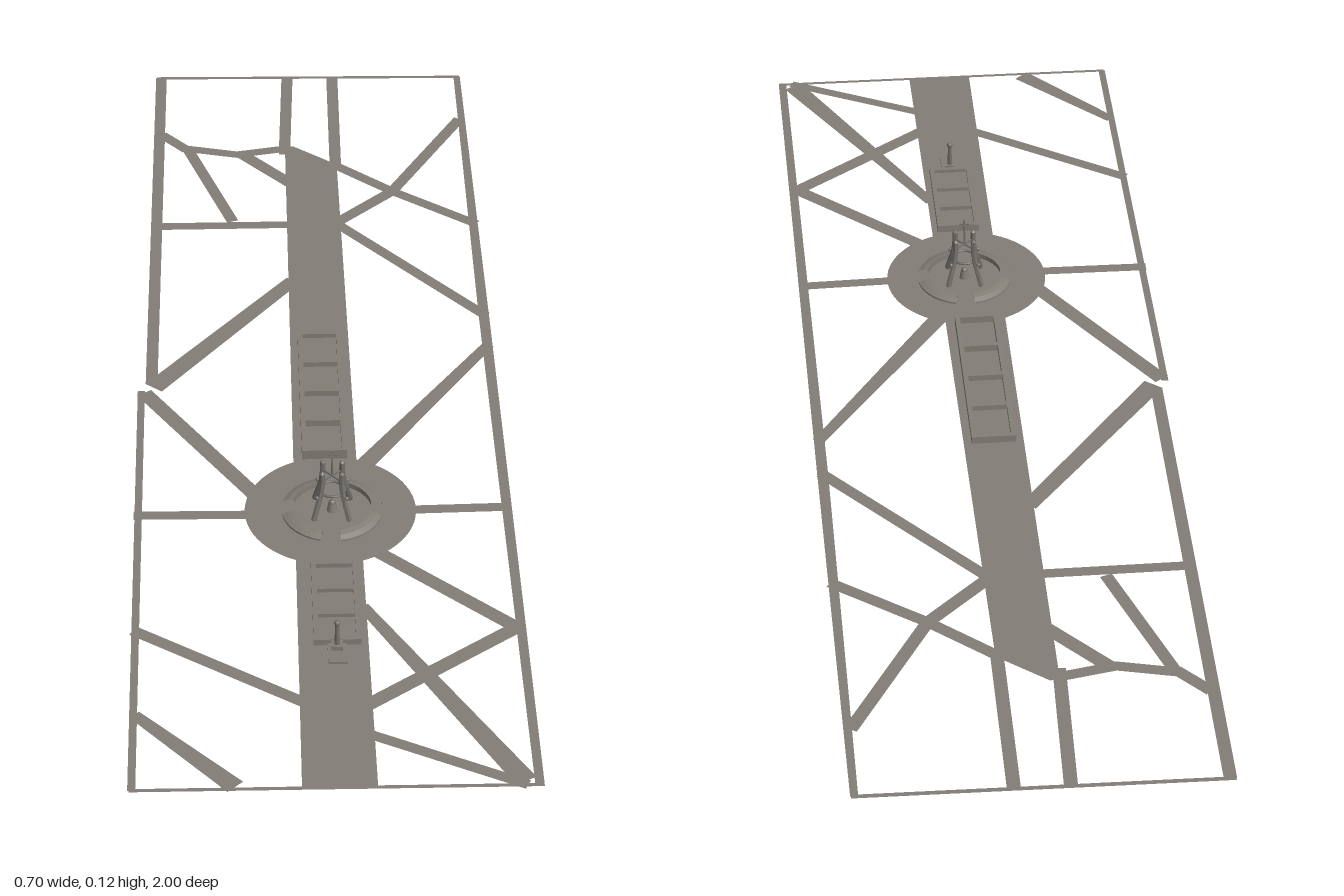
import * as THREE from 'three';

const stone = new THREE.MeshStandardMaterial({ color: 0x827e76, side: THREE.DoubleSide, flatShading: true });
const dark = new THREE.MeshStandardMaterial({ color: 0x74716c, side: THREE.DoubleSide, flatShading: true });

function add(parent, name, geometry, material = stone, x = 0, y = 0, z = 0) {
  const mesh = new THREE.Mesh(geometry, material);
  mesh.name = name;
  mesh.position.set(x, y, z);
  parent.add(mesh);
  return mesh;
}

// flat ground polygon from [x, z] corners
function flat(points) {
  const shape = new THREE.Shape(points.map(([x, z]) => new THREE.Vector2(x, -z)));
  return new THREE.ShapeGeometry(shape).rotateX(-Math.PI / 2);
}

// flat path between two points, with a width at each end
function strip([x0, z0, x1, z1, w0, w1 = w0]) {
  const len = Math.hypot(x1 - x0, z1 - z0);
  const nx = -(z1 - z0) / len / 2, nz = (x1 - x0) / len / 2;
  return flat([
    [x0 + nx * w0, z0 + nz * w0], [x1 + nx * w1, z1 + nz * w1],
    [x1 - nx * w1, z1 - nz * w1], [x0 - nx * w0, z0 - nz * w0],
  ]);
}

// outer boundary: x0, z0, x1, z1, start width, end width
const BORDER = [
  [-0.352, -0.975, 0.222, -0.997, 0.008],
  [-0.268, 0.993, 0.349, 0.962, 0.007],
  [-0.343, -0.975, -0.299, -0.01, 0.02],
  [-0.315, 0.01, -0.264, 0.993, 0.012],
  [0.217, -0.995, 0.265, -0.22, 0.012, 0.018],
  [0.265, -0.22, 0.342, 0.96, 0.018, 0.014],
];
const LEFT_PATHS = [
  [-0.105, -0.985, -0.1, -0.72, 0.021],
  [-0.33, -0.78, -0.28, -0.73, 0.022],
  [-0.28, -0.735, -0.185, -0.5, 0.021],
  [-0.285, -0.735, -0.185, -0.717, 0.021],
  [-0.19, -0.717, -0.09, -0.742, 0.021],
  [-0.18, -0.72, -0.085, -0.625, 0.026],
  [-0.315, -0.48, -0.08, -0.493, 0.021],
  [-0.07, -0.32, -0.295, 0, 0.028, 0.036],
  [-0.31, 0.015, -0.1, 0.3, 0.028],
  [-0.305, 0.345, -0.11, 0.337, 0.021],
  [-0.286, 0.63, 0, 0.798, 0.022],
  [-0.271, 0.825, -0.11, 0.98, 0.02, 0.032],
];
const RIGHT_PATHS = [
  [-0.02, -0.987, -0.005, -0.68, 0.021],
  [0.222, -0.85, 0.1, -0.605, 0.022],
  [0.1, -0.605, 0, -0.5, 0.024],
  [-0.01, -0.69, 0.1, -0.605, 0.022],
  [0.1, -0.605, 0.252, -0.505, 0.022],
  [0, -0.5, 0.267, -0.225, 0.022],
  [0.272, -0.14, 0.06, 0.21, 0.02, 0.032],
  [0.14, 0.317, 0.298, 0.305, 0.021],
  [0.09, 0.425, 0.312, 0.605, 0.026],
  [0.312, 0.605, 0.08, 0.795, 0.026],
  [0.07, 0.56, 0.322, 0.955, 0.02, 0.036],
  [0.09, 0.86, 0.325, 0.963, 0.02],
];

function rect(path, x0, y0, x1, y1) {
  path.moveTo(x0, y0).lineTo(x1, y0).lineTo(x1, y1).lineTo(x0, y1).closePath();
  return path;
}

// raised rim split into sunken panels, its top sloping from back to front
function basin(name, x, z, width, length, panels, backHeight, frontHeight) {
  const group = new THREE.Group();
  group.name = name;
  const rim = 0.008, step = (length - rim) / panels;
  const shape = rect(new THREE.Shape(), -width / 2, -length / 2, width / 2, length / 2);
  for (let i = 0; i < panels; i++) {
    const y = -length / 2 + rim + i * step;
    shape.holes.push(rect(new THREE.Path(), -width / 2 + rim, y, width / 2 - rim, y + step - rim));
  }
  const geometry = new THREE.ExtrudeGeometry(shape, { depth: 1, bevelEnabled: false }).rotateX(-Math.PI / 2);
  const p = geometry.attributes.position;
  for (let i = 0; i < p.count; i++) {
    p.setY(i, p.getY(i) * THREE.MathUtils.lerp(backHeight, frontHeight, p.getZ(i) / length + 0.5));
  }
  geometry.computeVertexNormals();
  add(group, 'basinRim', geometry);
  add(group, 'basinFloor', new THREE.BoxGeometry(width - 0.004, 0.004, length - 0.004), stone, 0, 0.003, 0);
  group.position.set(x, 0, z);
  group.rotation.y = 0.056;
  return group;
}

function createMonument() {
  const group = new THREE.Group();
  group.name = 'monument';

  // four sloped arcs of steps around the tower
  const profile = [[0.082, 0], [0.082, 0.004], [0.073, 0.008], [0.064, 0.01], [0.064, 0]]
    .map(([r, y]) => new THREE.Vector2(r, y));
  for (let i = 0; i < 4; i++) {
    const start = Math.PI / 4 + i * Math.PI / 2;
    add(group, 'curvedSteps', new THREE.LatheGeometry(profile, 10, start - 0.58, 1.16));
  }
  add(group, 'domeBase', new THREE.CylinderGeometry(0.006, 0.009, 0.016, 12), stone, 0, 0.008, 0);
  add(group, 'centreDome', new THREE.SphereGeometry(0.006, 12, 6, 0, Math.PI * 2, 0, Math.PI / 2), dark, 0, 0.016, 0);

  // four inward curving legs with upright pinnacles
  for (let i = 0; i < 4; i++) {
    const leg = new THREE.Group();
    leg.name = 'towerLeg';
    const curve = new THREE.CatmullRomCurve3([
      new THREE.Vector3(0.041, 0.002, 0), new THREE.Vector3(0.034, 0.022, 0),
      new THREE.Vector3(0.026, 0.045, 0), new THREE.Vector3(0.022, 0.07, 0),
    ]);
    add(leg, 'curvedLeg', new THREE.TubeGeometry(curve, 8, 0.0048, 6), dark);
    add(leg, 'pinnacle', new THREE.CylinderGeometry(0.0045, 0.005, 0.02, 6), dark, 0.022, 0.077, 0);
    add(leg, 'pinnacleCap', new THREE.ConeGeometry(0.0045, 0.004, 6), dark, 0.022, 0.089, 0);
    add(leg, 'crossBeam', new THREE.BoxGeometry(0.022, 0.002, 0.003), dark, 0.011, 0.072, 0);
    add(leg, 'legKnob', new THREE.SphereGeometry(0.0035, 8, 6), dark, 0.034, 0.044, 0);
    leg.rotation.y = Math.PI / 4 + i * Math.PI / 2;
    group.add(leg);
  }
  const ring = add(group, 'waistRing', new THREE.TorusGeometry(0.02, 0.0025, 6, 24), dark, 0, 0.044, 0);
  ring.rotation.x = Math.PI / 2;

  // mast with its small crossed arms
  add(group, 'mast', new THREE.CylinderGeometry(0.0012, 0.002, 0.052, 8), dark, 0, 0.096, 0);
  add(group, 'mastArm', new THREE.BoxGeometry(0.017, 0.002, 0.002), dark, 0, 0.114, 0);
  add(group, 'mastArm', new THREE.BoxGeometry(0.002, 0.002, 0.017), dark, 0, 0.114, 0);

  group.position.set(0.016, 0, 0.322);
  return group;
}

export function createModel() {
  const model = new THREE.Group();
  model.name = 'plaza';

  // ground plan
  BORDER.forEach(s => add(model, 'borderPath', strip(s)));
  LEFT_PATHS.forEach(s => add(model, 'leftPath', strip(s)));
  RIGHT_PATHS.forEach(s => add(model, 'rightPath', strip(s)));
  add(model, 'mainAvenue', flat([[-0.1, -0.745], [-0.085, -0.748], [-0.003, -0.69], [0.102, 0.975], [-0.011, 0.98]]));
  add(model, 'roundSquare', new THREE.CircleGeometry(0.139, 64).rotateX(-Math.PI / 2), stone, 0.013, 0.0008, 0.322);

  // basins along the avenue
  model.add(basin('rearBasin', -0.01, 0.018, 0.074, 0.34, 4, 0.013, 0.018));
  model.add(basin('frontBasin', 0.028, 0.56, 0.074, 0.19, 3, 0.013, 0.011));

  // low step and post before the front basin
  const step = add(model, 'frontStep', new THREE.BoxGeometry(0.03, 0.004, 0.045), stone, 0.034, 0.002, 0.677);
  step.rotation.y = 0.056;
  add(model, 'postBase', new THREE.BoxGeometry(0.018, 0.012, 0.016), stone, 0.033, 0.006, 0.665);
  add(model, 'post', new THREE.CylinderGeometry(0.003, 0.0045, 0.042, 8), dark, 0.033, 0.031, 0.665);
  add(model, 'postHead', new THREE.SphereGeometry(0.005, 10, 8), dark, 0.033, 0.053, 0.665);

  model.add(createMonument());
  return model;
}
